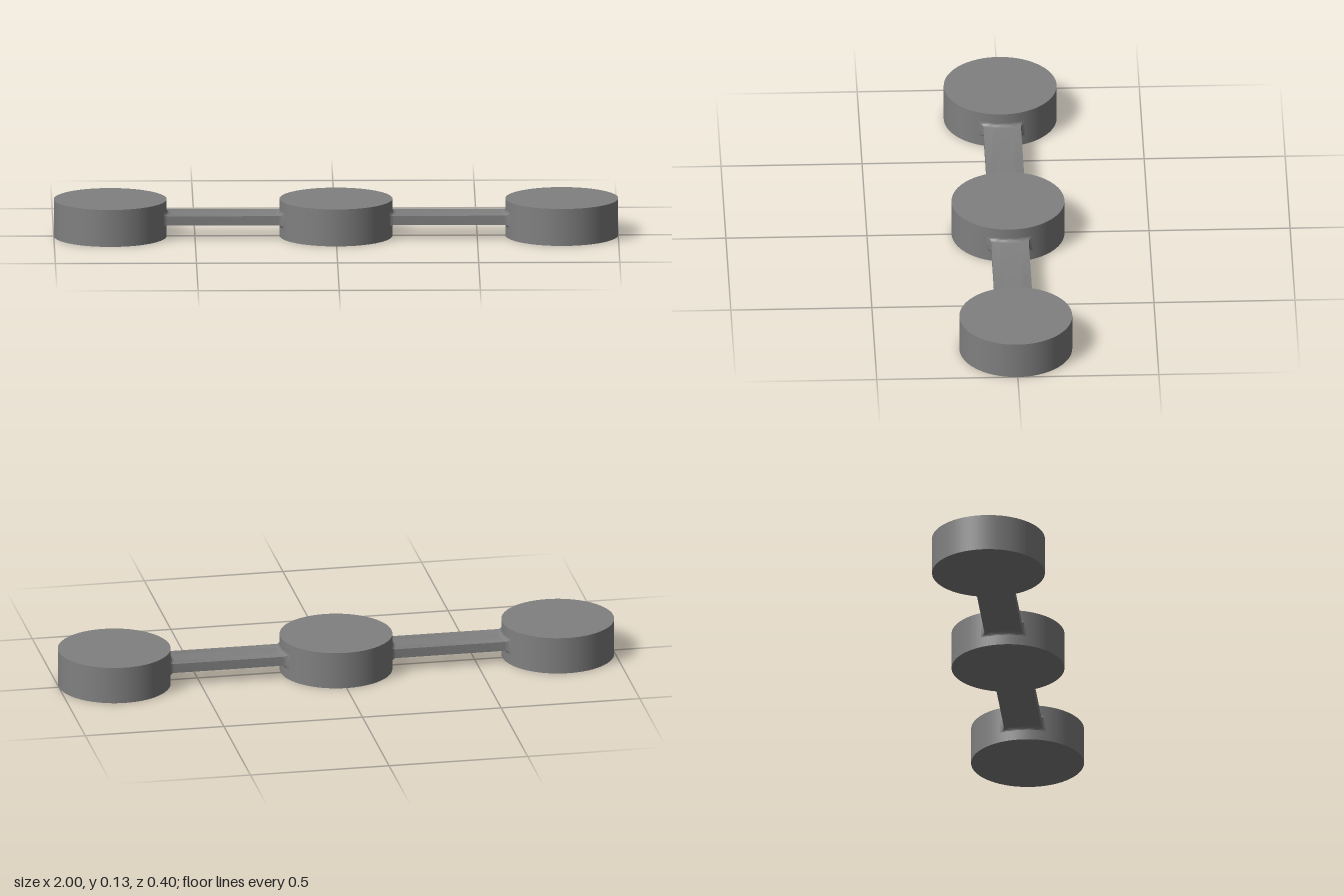
import * as THREE from 'three';
import { toCreasedNormals } from 'three/addons/utils/BufferGeometryUtils.js';

const R = 0.2, H = 0.1333, SPACING = 0.8;        // discs
const HALF_W = 0.0667, HALF_T = 0.0167, FILLET = 0.0133; // connecting bars

// Bar lofted along x, ending on the disc walls with a rounded fillet all round
function barGeometry() {
  const steps = 6, cols = 10;
  const profile = [[-0.005, FILLET]];            // [distance from disc wall, flare]
  for (let i = 0; i <= steps; i++) {
    const a = (Math.PI / 2) * (1 - i / steps);
    profile.push([FILLET * (1 - Math.sin(a)), FILLET * (1 - Math.cos(a))]);
  }
  // Unit rectangle: across the top, then back across the bottom
  const outline = [];
  for (let i = 0; i <= cols; i++) outline.push([1, -1 + 2 * i / cols]);
  for (let i = 0; i <= cols; i++) outline.push([-1, 1 - 2 * i / cols]);

  const ring = ([d, flare], side) => outline.map(([v, u]) => {
    const z = u * (HALF_W + flare);
    const x = Math.sqrt((R + d) ** 2 - z * z) - SPACING / 2;
    return [side * x, v * (HALF_T + flare), z];
  });
  const rings = [
    ...profile.map(p => ring(p, 1)),
    ...profile.slice().reverse().map(p => ring(p, -1)),
  ];

  const n = outline.length, index = [];
  for (let r = 0; r < rings.length - 1; r++) {
    for (let i = 0; i < n; i++) {
      const a = r * n + i, b = r * n + (i + 1) % n;
      index.push(a, b, b + n, a, b + n, a + n);
    }
  }
  const g = new THREE.BufferGeometry();
  g.setAttribute('position', new THREE.Float32BufferAttribute(rings.flat(2), 3));
  g.setIndex(index);
  return toCreasedNormals(g, 0.6);
}

export function createModel() {
  const model = new THREE.Group();
  model.name = 'linkedDiscs';
  const grey = new THREE.MeshStandardMaterial({ color: 0x808080 });
  grey.name = 'grey';

  const add = (name, geometry, x) => {
    const mesh = new THREE.Mesh(geometry, grey);
    mesh.name = name;
    mesh.position.set(x, H / 2, 0);
    model.add(mesh);
  };

  // Three round discs in a row
  const disc = new THREE.CylinderGeometry(R, R, H, 128);
  add('rightDisc', disc, -SPACING);
  add('middleDisc', disc, 0);
  add('leftDisc', disc, SPACING);

  // Two thin bars joining them at mid height
  const bar = barGeometry();
  add('rightBar', bar, -SPACING / 2);
  add('leftBar', bar, SPACING / 2);

  return model;
}
